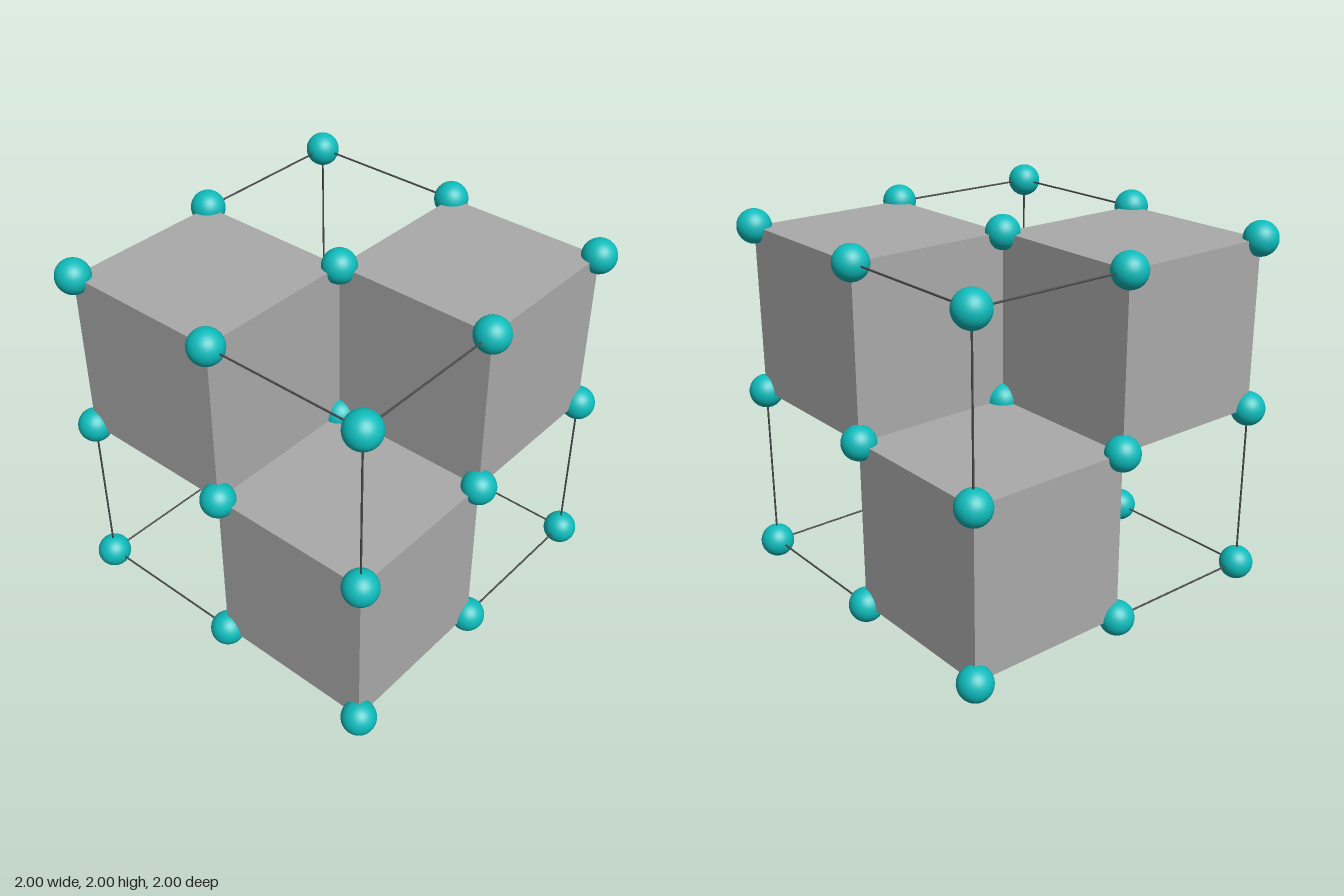
import * as THREE from 'three';

const CELL = 10 / 11;   // lattice spacing
const BALL = 1 / 11;    // ball radius
const ROD = 0.005;      // rod radius

export function createModel() {
  const model = new THREE.Group();
  model.name = 'cubicLattice';

  const teal = new THREE.MeshStandardMaterial({ color: 0x0fbcbc });
  teal.name = 'teal';
  const grey = new THREE.MeshStandardMaterial({ color: 0xaaaaaa });
  grey.name = 'grey';
  const darkGrey = new THREE.MeshStandardMaterial({ color: 0x484848 });
  darkGrey.name = 'darkGrey';

  const ballGeometry = new THREE.SphereGeometry(BALL, 32, 24);
  const cubeGeometry = new THREE.BoxGeometry(CELL, CELL, CELL);
  const rodGeometry = new THREE.CylinderGeometry(ROD, ROD, CELL, 12);

  // Places a part at lattice coordinates in the range -1..1
  const add = (name, geometry, material, p) => {
    const mesh = new THREE.Mesh(geometry, material);
    mesh.name = name;
    mesh.position.set(p[0] * CELL, 1 + p[1] * CELL, p[2] * CELL);
    model.add(mesh);
    return mesh;
  };

  // Balls on all lattice points
  for (const x of [-1, 0, 1])
    for (const y of [-1, 0, 1])
      for (const z of [-1, 0, 1]) add('ball', ballGeometry, teal, [x, y, z]);

  // Alternating cells: solid cubes, or empty cells with three outer rods
  for (const x of [-1, 1])
    for (const y of [-1, 1])
      for (const z of [-1, 1]) {
        if (x * y * z > 0) {
          add('cube', cubeGeometry, grey, [x / 2, y / 2, z / 2]);
          continue;
        }
        for (let axis = 0; axis < 3; axis++) {
          const p = [x, y, z];
          p[axis] /= 2;
          const rod = add('rod', rodGeometry, darkGrey, p);
          if (axis === 0) rod.rotation.z = Math.PI / 2;
          if (axis === 2) rod.rotation.x = Math.PI / 2;
        }
      }

  return model;
}
